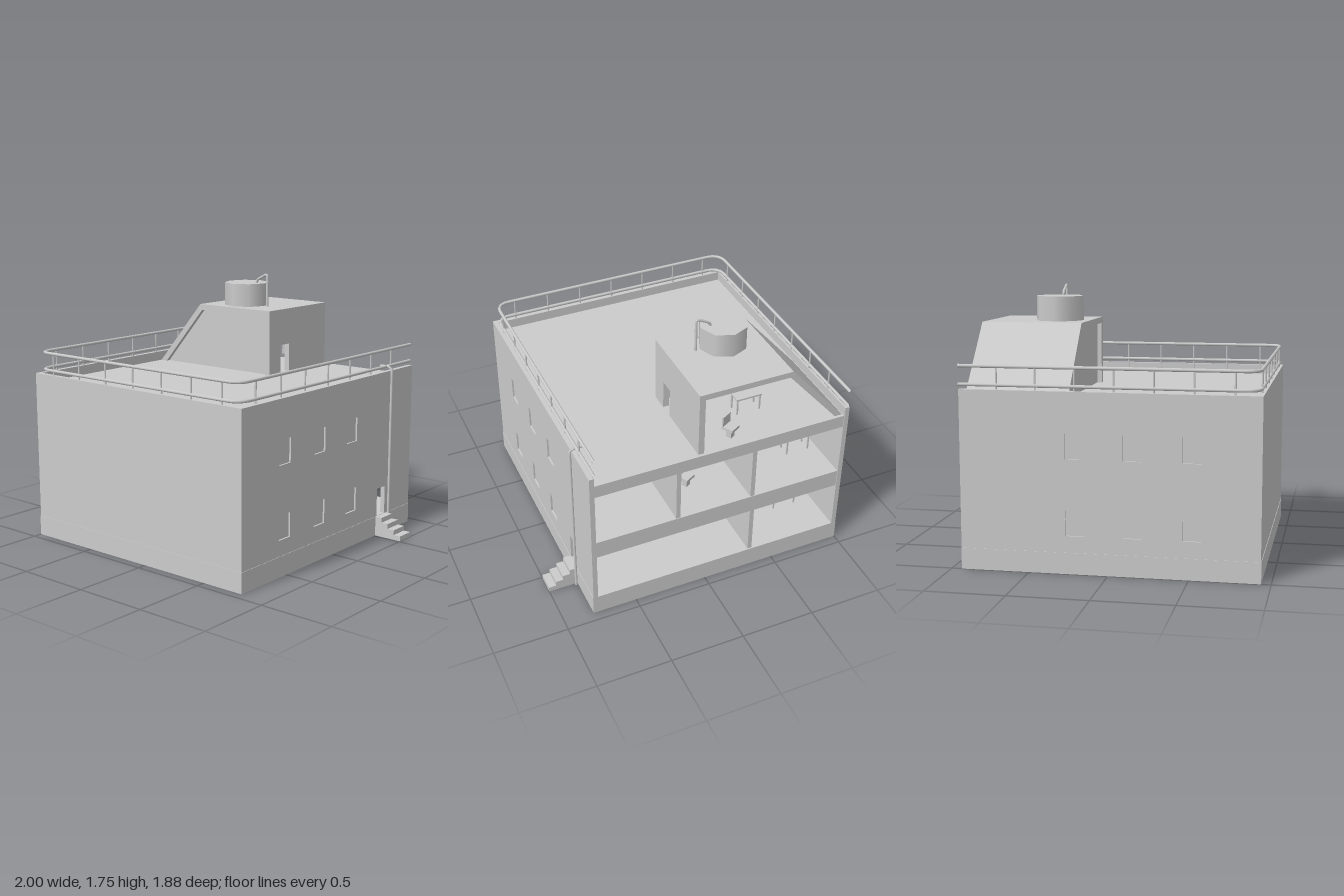
import * as THREE from 'three';

const grey = new THREE.MeshStandardMaterial({ color: 0xcccccc, side: THREE.DoubleSide });

export function createModel() {
  const model = new THREE.Group();

  const add = (name, geometry, parent = model) => {
    const mesh = new THREE.Mesh(geometry, grey);
    mesh.name = name;
    parent.add(mesh);
    return mesh;
  };
  // Box from its extents
  const box = (name, x0, x1, y0, y1, z0, z1, parent) => {
    const g = new THREE.BoxGeometry(x1 - x0, y1 - y0, z1 - z0);
    g.translate((x0 + x1) / 2, (y0 + y1) / 2, (z0 + z1) / 2);
    return add(name, g, parent);
  };
  const polygon = (points) => new THREE.Shape(points.map(([x, y]) => new THREE.Vector2(x, y)));
  const extrude = (shape, depth) => new THREE.ExtrudeGeometry(shape, { depth, bevelEnabled: false });
  const rect = (u0, u1, v0, v1) => polygon([[u0, v0], [u1, v0], [u1, v1], [u0, v1]]);
  // Wall drawn in (z, y), its outer +x face at xOuter
  const sideWall = (name, shape, xOuter, thickness, parent) => {
    const g = extrude(shape, thickness);
    g.rotateY(-Math.PI / 2);
    g.translate(xOuter, 0, 0);
    return add(name, g, parent);
  };
  // Tube through straight runs with rounded corners
  const roundedPath = (points, r) => {
    const path = new THREE.CurvePath();
    const p = points.map((a) => new THREE.Vector3(...a));
    let from = p[0];
    for (let i = 1; i < p.length - 1; i++) {
      const a = p[i].clone().add(p[i - 1].clone().sub(p[i]).setLength(r));
      const b = p[i].clone().add(p[i + 1].clone().sub(p[i]).setLength(r));
      path.add(new THREE.LineCurve3(from, a));
      path.add(new THREE.QuadraticBezierCurve3(a, p[i], b));
      from = b;
    }
    path.add(new THREE.LineCurve3(from, p[p.length - 1]));
    return path;
  };
  const tube = (name, path, radius, segments, parent) =>
    add(name, new THREE.TubeGeometry(path, segments, radius, 8), parent);

  const X0 = -1, X1 = 0.8, Z0 = -0.935, Z1 = 0.94, BASE = 0.135, TOP = 1.135, DECK = 1.07, T = 0.035;

  // Plinth: a hollow skirt, open underneath
  const plinth = new THREE.Group();
  plinth.name = 'plinth';
  model.add(plinth);
  box('plinthFront', X0, X1, 0, BASE, Z1 - 0.01, Z1, plinth);
  box('plinthBack', X0, X1, 0, BASE, Z0, Z0 + 0.01, plinth);
  box('plinthLeft', X1 - 0.01, X1, 0, BASE, Z0, Z1, plinth);
  box('plinthRight', X0, X0 + 0.01, 0, BASE, Z0, Z1, plinth);

  // Floors and roof deck; the back stays open
  box('groundFloor', X0, X1, 0.12, BASE, Z0, Z1);
  box('upperFloor', X0 + T, X1 - T, 0.48, 0.605, Z0 + 0.005, Z1 - T);
  box('roofDeck', X0 + T, X1 - T, 0.98, DECK, Z0 + 0.005, Z1 - T);
  box('frontWall', X0 + 0.003, X1 - 0.003, BASE, TOP, Z1 - T, Z1 - 0.003);

  // Side walls with recessed windows; the left one has a doorway
  for (const side of [1, -1]) {
    const name = side > 0 ? 'left' : 'right';
    const shape = rect(Z0, Z1 - T, BASE, TOP);
    const outer = side > 0 ? X1 - 0.003 : X0 + T;
    const pane = side > 0 ? X1 - 0.015 : X0 + 0.02;
    for (const z of [0.46, 0.095, -0.265]) {
      for (const y of [0.24, 0.718]) {
        shape.holes.push(rect(z, z + 0.115, y, y + 0.16));
        box(name + 'WindowPane', pane - 0.005, pane, y, y + 0.16, z, z + 0.115);
      }
    }
    if (side > 0) shape.holes.push(rect(-0.622, -0.525, BASE + 0.002, 0.33));
    sideWall(name + 'Wall', shape, outer, T - 0.003);
  }

  // Inner walls seen through the open back
  box('lowerCrossWall', X0 + T, X1 - T, BASE, 0.48, -0.44, -0.41);
  box('upperCrossWall', X0 + T, X1 - T, 0.605, 0.98, -0.44, -0.41);
  box('lowerPartition', -0.35, -0.32, BASE, 0.48, Z0 + 0.01, -0.44);
  for (const x of [0.2, -0.33]) box('upperPartition', x - 0.015, x + 0.015, 0.605, 0.98, Z0 + 0.01, -0.44);

  // Steps to the side door
  const steps = [[X1, 0]];
  for (let i = 0; i < 4; i++) steps.push([1 - i * 0.05, i * 0.034], [1 - i * 0.05, (i + 1) * 0.034]);
  steps.push([X1, 0.136]);
  add('doorSteps', extrude(polygon(steps), 0.13)).position.z = -0.64;

  // Roof house: sloped shell open at the back, with a recessed front panel
  const house = new THREE.Group();
  house.name = 'roofHouse';
  model.add(house);
  const HZ0 = -0.91, HZ1 = -0.255;
  const shell = polygon([[-0.96, DECK], [-0.57, 1.52], [0.025, 1.52], [0.025, 1.48], [-0.552, 1.48], [-0.907, DECK]]);
  add('slopedRoof', extrude(shell, HZ1 - HZ0), house).position.z = HZ0;
  const panel = polygon([[-0.907, DECK], [0.025, DECK], [0.025, 1.48], [-0.552, 1.48]]);
  add('frontPanel', extrude(panel, 0.02), house).position.z = HZ1 - 0.05;
  const doorWall = rect(HZ0, HZ1, DECK, 1.52);
  doorWall.holes.push(rect(-0.48, -0.38, DECK + 0.002, 1.27));
  sideWall('doorWall', doorWall, 0.065, 0.04, house);

  // Water tank and its pipe
  const tank = new THREE.CylinderGeometry(0.158, 0.158, 0.16, 8);
  tank.translate(-0.305, 1.6, -0.46);
  add('waterTank', tank);
  tube('tankPipe', roundedPath([[-0.215, 1.67, -0.46], [-0.215, 1.7, -0.46], [-0.118, 1.75, -0.46],
    [-0.118, 1.52, -0.46]], 0.025), 0.009, 40);

  // Guard rail around three sides
  const railing = new THREE.Group();
  railing.name = 'railing';
  model.add(railing);
  const railPath = (y) => roundedPath([[-0.972, y, -0.945], [-0.972, y, 0.918],
    [0.768, y, 0.918], [0.768, y, -0.945]], 0.1);
  for (const y of [1.163, 1.278]) tube('rail', railPath(y), 0.011, 140, railing);
  const spots = railPath(0).getSpacedPoints(22).slice(1, -1);
  for (const p of spots) {
    const post = new THREE.CylinderGeometry(0.006, 0.006, 0.21, 6);
    post.translate(p.x, 1.173, p.z);
    add('railPost', post, railing);
  }

  // Drain pipe bending over the roof edge
  tube('drainPipe', roundedPath([[0.812, 0, -0.65], [0.812, 1.163, -0.65], [0.72, 1.163, -0.65]], 0.03), 0.009, 40);

  // Small desks and chairs in the open rooms
  const furnish = (x, y, z) => {
    const desk = new THREE.Group();
    desk.name = 'desk';
    box('deskTop', -0.09, 0.09, 0.11, 0.122, -0.05, 0.05, desk);
    for (const lx of [-0.08, 0.08]) {
      for (const lz of [-0.04, 0.04]) box('deskLeg', lx - 0.005, lx + 0.005, 0, 0.11, lz - 0.005, lz + 0.005, desk);
    }
    desk.position.set(x, y, z);
    model.add(desk);
  };
  const seat = (x, y, z) => {
    const chair = new THREE.Group();
    chair.name = 'chair';
    box('chairBase', -0.02, 0.02, 0, 0.06, -0.02, 0.02, chair);
    box('chairSeat', -0.04, 0.04, 0.06, 0.08, -0.04, 0.04, chair);
    box('chairBack', -0.04, 0.04, 0.08, 0.15, 0.03, 0.04, chair);
    chair.position.set(x, y, z);
    chair.rotation.y = 0.5;
    model.add(chair);
  };
  furnish(-0.42, DECK, -0.6);
  seat(-0.2, DECK, -0.82);
  furnish(-0.82, 0.605, -0.6);
  seat(0.02, 0.605, -0.65);
  furnish(-0.75, BASE, -0.6);

  return model;
}
